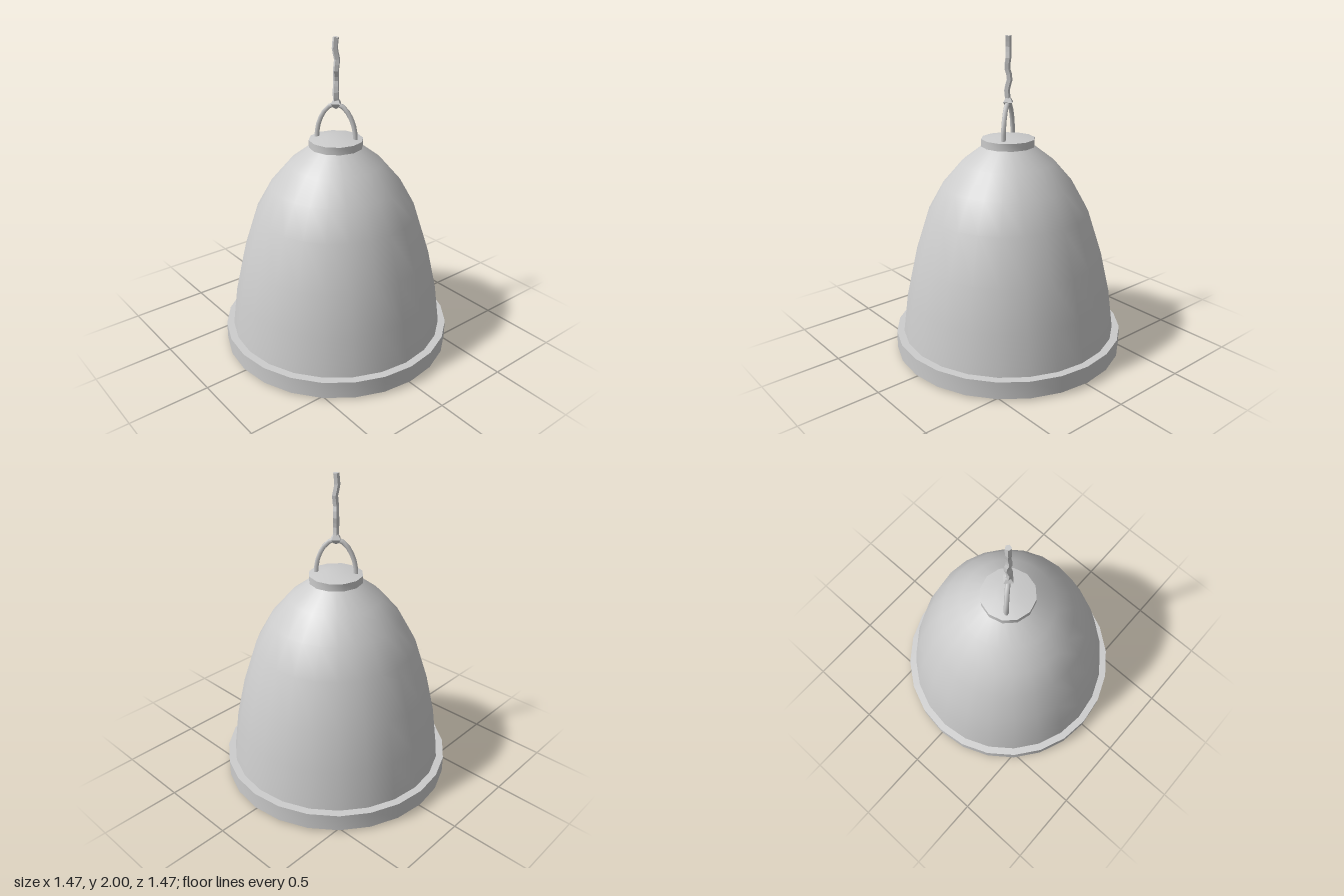
import * as THREE from 'three';
import { toCreasedNormals } from 'three/addons/utils/BufferGeometryUtils.js';

const smooth = new THREE.MeshStandardMaterial({ color: 0xcccccc });
const faceted = new THREE.MeshStandardMaterial({ color: 0xcccccc, flatShading: true });

const v2 = (pts) => pts.map(([x, y]) => new THREE.Vector2(x, y));
const v3 = (pts) => pts.map((p) => new THREE.Vector3(...p));

export function createModel() {
  const lamp = new THREE.Group();
  lamp.name = 'pendantLamp';

  const add = (name, geometry, material) => {
    const mesh = new THREE.Mesh(geometry, material);
    mesh.name = name;
    lamp.add(mesh);
    return mesh;
  };
  const turned = (pts, sides) => new THREE.LatheGeometry(v2(pts), sides);

  // Bell-shaped shade
  add('shade', turned([
    [0.69, 0.11], [0.655, 0.38], [0.597, 0.64], [0.507, 0.92],
    [0.41, 1.095], [0.29, 1.235], [0.16, 1.335],
  ], 24), smooth);

  // Rim band with its closed underside
  add('rim', toCreasedNormals(turned([
    [0, 0], [0.705, 0], [0.735, 0.012], [0.735, 0.122], [0.68, 0.124],
  ], 24), 0.45), smooth);

  // Collar on top of the shade
  add('collar', toCreasedNormals(turned([
    [0, 1.335], [0.168, 1.335], [0.168, 1.382], [0.07, 1.4], [0, 1.4],
  ], 12), 0.6), smooth);

  // Arched hanger, set diagonally across the collar
  const half = [[0.122, 1.38], [0.116, 1.45], [0.092, 1.52], [0.05, 1.58]];
  const arch = new THREE.CatmullRomCurve3(v3([
    ...half.map(([s, y]) => [-s, y, 0]),
    [0, 1.602, 0],
    ...half.toReversed().map(([s, y]) => [s, y, 0]),
  ]));
  add('hanger', new THREE.TubeGeometry(arch, 12, 0.015, 6), smooth).rotation.y = -Math.atan2(0.1, 0.073);

  // Small knot joining hanger and cord
  add('knot', turned([
    [0, 1.57], [0.02, 1.582], [0.04, 1.605], [0.02, 1.632], [0, 1.635],
  ], 4), faceted);

  // Slightly crooked cord with a flat end
  const cord = new THREE.CatmullRomCurve3(v3([
    [0, 1.61, 0], [-0.006, 1.68, 0.005], [0.006, 1.75, -0.006], [-0.004, 1.81, 0.005],
    [0.005, 1.87, 0.004], [-0.005, 1.93, -0.004], [0, 2, 0],
  ]));
  add('cord', new THREE.TubeGeometry(cord, 12, 0.019, 5), faceted);
  const end = add('cordEnd', new THREE.CircleGeometry(0.019, 5), faceted);
  end.rotation.x = -Math.PI / 2;
  end.position.y = 2;

  return lamp;
}
